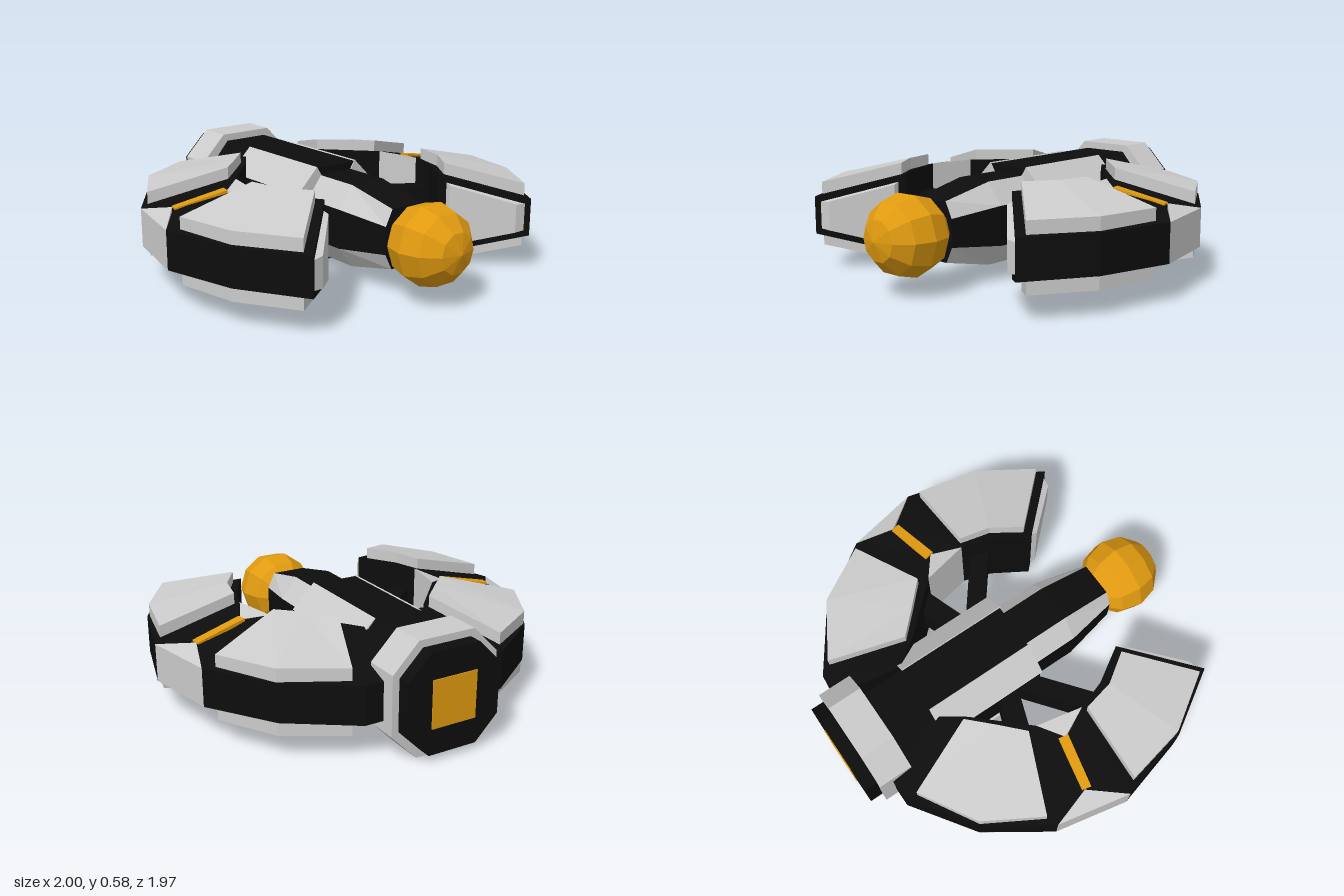
import * as THREE from 'three';

const CY = 0.288; // height of the horizontal symmetry plane
const grey = new THREE.MeshStandardMaterial({ color: 0xcccccc });
const black = new THREE.MeshStandardMaterial({ color: 0x0d0d0d });
const amber = new THREE.MeshStandardMaterial({ color: 0xe09a10 });

// Flat-faced loft through rings that run counter-clockwise seen from the end
function loft(name, rings, material, { keep = () => true, caps = true } = {}) {
  const pos = [];
  const tri = (...p) => p.forEach((v) => pos.push(v[0], v[1] + CY, v[2]));
  const n = rings[0].length;
  for (let s = 0; s < rings.length - 1; s++) {
    for (let j = 0; j < n; j++) {
      if (!keep(j)) continue;
      const k = (j + 1) % n, a = rings[s], b = rings[s + 1];
      tri(a[j], a[k], b[k]);
      tri(a[j], b[k], b[j]);
    }
  }
  if (caps) {
    const a = rings[0], b = rings[rings.length - 1];
    for (let j = 1; j < n - 1; j++) {
      tri(b[0], b[j], b[j + 1]);
      tri(a[0], a[j + 1], a[j]);
    }
  }
  const g = new THREE.BufferGeometry();
  g.setAttribute('position', new THREE.Float32BufferAttribute(pos, 3));
  g.computeVertexNormals();
  const mesh = new THREE.Mesh(g, material);
  mesh.name = name;
  return mesh;
}

// Band with stations [outerX, outerZ, innerX, innerZ, outerHalfHeight, innerHalfHeight]
function band(name, stations, material, ho, hi) {
  return loft(name, stations.map(([ox, oz, ix, iz, a = ho, b = hi]) => [
    [ox, a, oz], [ix, b, iz], [ix, -b, iz], [ox, -a, oz],
  ]), material);
}

// Octagon ring: half width, half height, flat half width, flat half height
const octagon = (w, h, fx, fy, z) => [
  [w, fy, z], [fx, h, z], [-fx, h, z], [-w, fy, z],
  [-w, -fy, z], [-fx, -h, z], [fx, -h, z], [w, -fy, z],
];

function createArm() {
  const arm = new THREE.Group();
  // Dark curved frame, thick inside and thin along the outer rim
  arm.add(band('armFrame', [
    [0.18, -0.84, 0.1, -0.6], [0.38, -0.84, 0.15, -0.51],
    [0.70, -0.62, 0.25, -0.37], [0.92, -0.30, 0.48, -0.12],
    [0.86, -0.09, 0.60, -0.02, 0.135, 0.18],
    [1.0, 0.08, 0.53, 0.12], [0.90, 0.46, 0.48, 0.27], [0.70, 0.785, 0.37, 0.45],
  ], black, 0.097, 0.212));

  // Armour plates, showing above and below the frame
  arm.add(band('rearPlate', [
    [0.41, -0.78, 0.26, -0.40], [0.70, -0.61, 0.375, -0.285], [0.865, -0.33, 0.49, -0.175],
  ], grey, 0.165, 0.262));
  arm.add(band('frontPlate', [
    [0.955, 0.13, 0.555, 0.13], [0.89, 0.45, 0.52, 0.29], [0.71, 0.73, 0.42, 0.44],
  ], grey, 0.165, 0.262));
  arm.add(band('endPlate', [
    [0.685, 0.765, 0.40, 0.48, 0.07, 0.17], [0.625, 0.755, 0.395, 0.51, 0.075, 0.16],
  ], grey));

  // Elbow wedges and the bright seam between them
  arm.add(band('outerWedge', [
    [0.92, -0.30, 0.92, -0.30, 0.097, 0.097], [0.96, -0.11, 0.86, -0.10, 0.097, 0.14],
    [1.0, 0.08, 1.0, 0.08, 0.097, 0.097],
  ], grey));
  arm.add(band('innerWedge', [
    [0.48, -0.12, 0.48, -0.12, 0.212, 0.212], [0.60, -0.03, 0.505, 0, 0.185, 0.212],
    [0.53, 0.12, 0.53, 0.12, 0.212, 0.212],
  ], grey));
  arm.add(band('seam', [
    [0.855, -0.112, 0.59, -0.065], [0.865, -0.065, 0.60, -0.015],
  ], amber, 0.143, 0.197));

  // Struts to the hub
  arm.add(band('rearStrut', [
    [0.50, -0.27, 0.22, -0.17], [0.50, -0.15, 0.22, -0.05],
  ], black, 0.08, 0.08));
  arm.add(band('frontStrut', [
    [0.54, 0.18, 0.22, -0.07], [0.50, 0.27, 0.22, 0.05],
  ], black, 0.08, 0.08));
  return arm;
}

export function createModel() {
  const model = new THREE.Group();
  model.name = 'model';

  // Mirrored arms
  for (const side of [1, -1]) {
    const arm = createArm();
    arm.name = side > 0 ? 'leftArm' : 'rightArm';
    arm.scale.x = side;
    model.add(arm);
  }

  // Hub core
  model.add(loft('hubCore', [
    octagon(0.24, 0.25, 0.125, 0.12, -0.75), octagon(0.24, 0.25, 0.125, 0.12, 0.08),
  ], black));

  // Four bevel strips on the hub
  for (const sx of [1, -1]) for (const sy of [1, -1]) {
    const section = [[0.25, 0.13], [0.125, 0.256], [0.09, 0.2], [0.17, 0.1]]
      .map(([x, y]) => [x * sx, y * sy]);
    if (sx * sy < 0) section.reverse();
    model.add(loft('hubBevel', [-0.51, 0.085].map((z) => section.map(([x, y]) => [x, y, z])), grey));
  }

  // Tapering neck: dark flats, light bevels
  const neck = [
    octagon(0.185, 0.21, 0.1, 0.1, 0.05), octagon(0.185, 0.21, 0.1, 0.1, 0.33),
    octagon(0.13, 0.15, 0.09, 0.07, 0.61),
  ];
  model.add(loft('neckFlats', neck, black, { keep: (j) => j % 2 === 1 }));
  model.add(loft('neckBevels', neck, grey, { keep: (j) => j % 2 === 0, caps: false }));

  // Faceted ball at the front
  const ballGeo = new THREE.SphereGeometry(0.205, 10, 6).toNonIndexed();
  ballGeo.computeVertexNormals();
  const ball = new THREE.Mesh(ballGeo, amber);
  ball.name = 'ball';
  ball.rotation.x = Math.PI / 2;
  ball.position.set(0, CY, 0.775);
  model.add(ball);

  // Rear collar, cap and lit square
  model.add(loft('collar', [
    octagon(0.285, 0.288, 0.15, 0.15, -0.91), octagon(0.285, 0.288, 0.15, 0.15, -0.73),
  ], grey));
  model.add(loft('rearCap', [
    octagon(0.25, 0.252, 0.13, 0.13, -0.98), octagon(0.25, 0.252, 0.13, 0.13, -0.9),
  ], black));
  const light = new THREE.Mesh(new THREE.BoxGeometry(0.24, 0.24, 0.02), amber);
  light.name = 'rearLight';
  light.position.set(0, CY, -0.975);
  model.add(light);

  return model;
}
